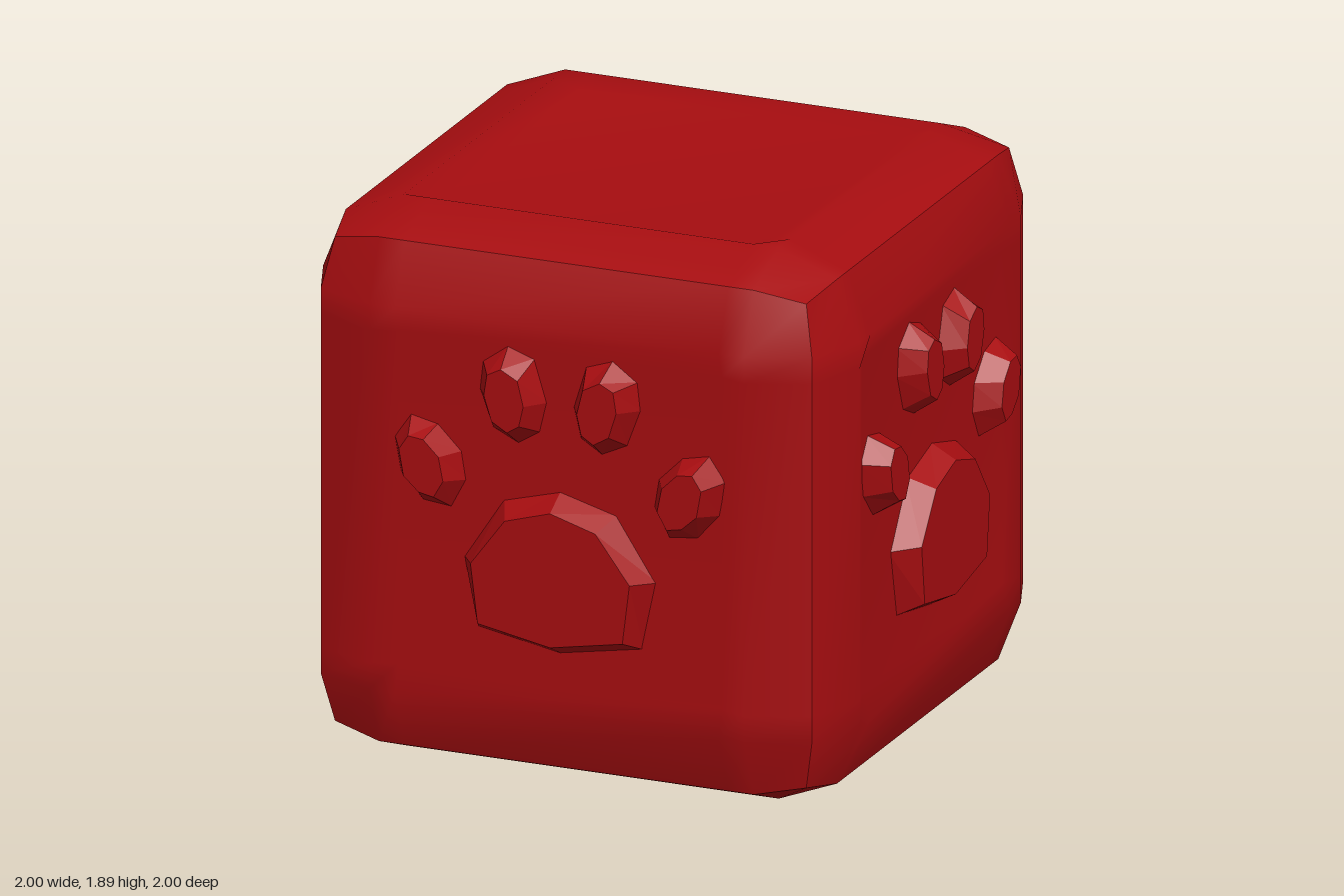
import * as THREE from 'three';

const CENTRE = 0.945;                                  // half height of the cube
const EDGES = [-0.865, -0.66, -0.57, 0.57, 0.66, 0.865]; // grid lines across a face
const BASE = 0.908, TIP = 1.0;                         // depth range of the paw reliefs

// One cube face: bevelled rim, raised border and a shallow recessed centre
function faceGeometry() {
  const g = new THREE.PlaneGeometry(5, 5, 5, 5), p = g.attributes.position;
  for (let i = 0; i < p.count; i++) {
    let x = EDGES[Math.round(p.getX(i) + 2.5)];
    let y = EDGES[Math.round(p.getY(i) + 2.5)];
    const m = Math.max(Math.abs(x), Math.abs(y));
    let z = m > 0.8 ? 0.865 : m > 0.6 ? 0.945 : 0.915;
    if (Math.abs(x) > 0.8 && Math.abs(y) > 0.8) {      // cut-in cube corner
      x = Math.sign(x) * 0.83;
      y = Math.sign(y) * 0.83;
      z = 0.83;
    }
    p.setXYZ(i, x, y, z);
  }
  g.computeVertexNormals();
  return g;
}

// Tapered relief between two clockwise outlines, with a flat cap
function reliefGeometry(outer, inner) {
  const pos = [], n = outer.length;
  const mid = [0, 1].map(k => inner.reduce((s, q) => s + q[k], 0) / n);
  const put = (q, z) => pos.push(q[0], q[1] - CENTRE, z);
  for (let i = 0; i < n; i++) {
    const j = (i + 1) % n;
    put(outer[i], BASE); put(inner[i], TIP); put(outer[j], BASE);
    put(outer[j], BASE); put(inner[i], TIP); put(inner[j], TIP);
    put(mid, TIP); put(inner[j], TIP); put(inner[i], TIP);
  }
  const g = new THREE.BufferGeometry();
  g.setAttribute('position', new THREE.Float32BufferAttribute(pos, 3));
  g.computeVertexNormals();
  return g;
}

const mirror = pts => pts.map(([x, y]) => [-x, y]).reverse();
// Completes a half outline whose first and last points lie on the centre line
const whole = half => [...half, ...mirror(half.slice(1, -1))];

// Outlines as [x, y], clockwise seen from the front
const INNER_TOE = [
  [[-0.185, 1.52], [-0.09, 1.487], [-0.045, 1.34], [-0.07, 1.235], [-0.147, 1.187], [-0.238, 1.23], [-0.286, 1.358], [-0.275, 1.455]],
  [[-0.174, 1.465], [-0.115, 1.433], [-0.094, 1.348], [-0.11, 1.278], [-0.152, 1.251], [-0.206, 1.283], [-0.233, 1.369], [-0.222, 1.44]],
];
const OUTER_TOE = [
  [[-0.527, 1.24], [-0.43, 1.219], [-0.345, 1.134], [-0.329, 1.037], [-0.382, 0.936], [-0.484, 0.947], [-0.564, 1.037], [-0.586, 1.155]],
  [[-0.5, 1.193], [-0.447, 1.187], [-0.393, 1.134], [-0.377, 1.053], [-0.41, 0.995], [-0.463, 1.005], [-0.516, 1.053], [-0.532, 1.144]],
];
const PAD = [
  whole([[0, 1.045], [0.2, 0.99], [0.34, 0.775], [0.29, 0.54], [0, 0.487]]),
  whole([[0, 0.995], [0.16, 0.947], [0.28, 0.786], [0.255, 0.583], [0, 0.535]]),
];

export function createModel() {
  const model = new THREE.Group();
  model.name = 'pawCube';
  const red = new THREE.MeshStandardMaterial({ color: 0xa60d10 });
  red.name = 'red';

  const add = (parent, name, geometry) => {
    const mesh = new THREE.Mesh(geometry, red);
    mesh.name = name;
    parent.add(mesh);
    return mesh;
  };

  // Top and bottom faces
  const face = faceGeometry();
  for (const [name, turn] of [['topFace', -1], ['bottomFace', 1]]) {
    const mesh = add(model, name, face);
    mesh.rotation.x = turn * Math.PI / 2;
    mesh.position.y = CENTRE;
  }

  // Four sides, each with a raised paw print
  const parts = [
    ['mainPad', reliefGeometry(...PAD)],
    ['rightInnerToe', reliefGeometry(...INNER_TOE)],
    ['leftInnerToe', reliefGeometry(...INNER_TOE.map(mirror))],
    ['rightOuterToe', reliefGeometry(...OUTER_TOE)],
    ['leftOuterToe', reliefGeometry(...OUTER_TOE.map(mirror))],
  ];
  ['front', 'left', 'back', 'right'].forEach((name, i) => {
    const side = new THREE.Group();
    side.name = name + 'Side';
    side.position.y = CENTRE;
    side.rotation.y = i * Math.PI / 2;
    add(side, name + 'Face', face);
    for (const [part, geometry] of parts) add(side, part, geometry);
    model.add(side);
  });

  return model;
}
